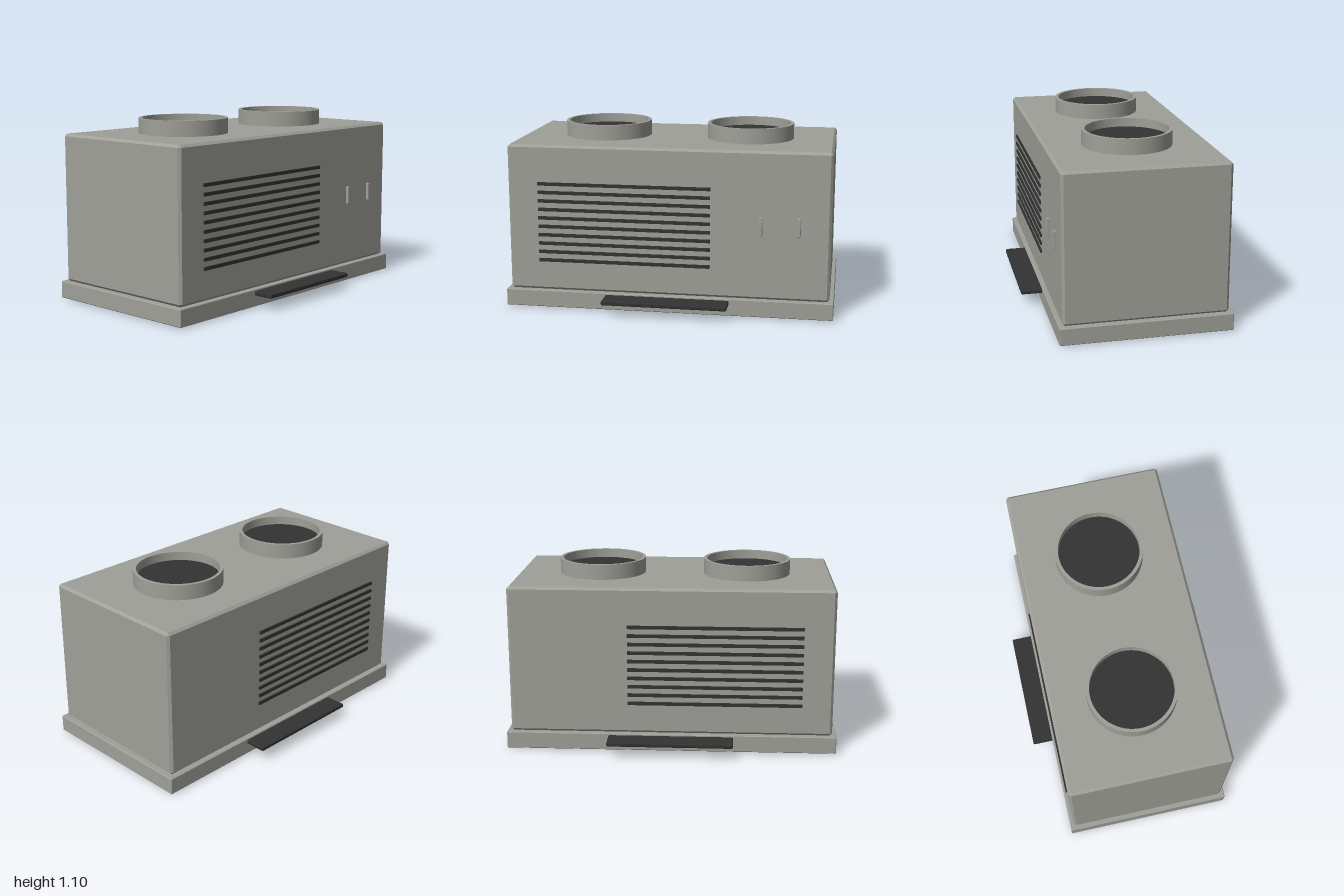
import * as THREE from 'three';
import { ConvexGeometry } from 'three/addons/geometries/ConvexGeometry.js';

const grey = new THREE.MeshStandardMaterial({ color: 0xa0a099 });
grey.name = 'casing grey';
const dark = new THREE.MeshStandardMaterial({ color: 0x333333 });
dark.name = 'vent dark grey';

// Box with every edge chamfered by c
function chamferBox(w, h, d, c) {
  const points = [];
  for (const sx of [-1, 1]) for (const sy of [-1, 1]) for (const sz of [-1, 1]) {
    const x = w / 2, y = h / 2, z = d / 2;
    points.push(
      new THREE.Vector3(sx * x, sy * (y - c), sz * (z - c)),
      new THREE.Vector3(sx * (x - c), sy * y, sz * (z - c)),
      new THREE.Vector3(sx * (x - c), sy * (y - c), sz * z));
  }
  return new ConvexGeometry(points);
}

export function createModel() {
  const group = new THREE.Group();
  function add(name, geometry, material, x, y, z) {
    const mesh = new THREE.Mesh(geometry, material);
    mesh.name = name;
    mesh.position.set(x, y, z);
    group.add(mesh);
    return mesh;
  }

  // Casing and base tray
  add('casing', chamferBox(1.95, 0.9, 0.974, 0.015), grey, 0, 0.565, 0);
  add('baseTray', chamferBox(2, 0.104, 1.02, 0.004), grey, 0, 0.063, 0);
  add('bottomPanel', new THREE.BoxGeometry(0.74, 0.02, 0.74), dark, 0, 0.014, 0);

  // Flat plate passing through the base and standing out front and back
  add('mountingPlate', chamferBox(0.755, 0.026, 1.275, 0.005), dark, 0, 0.092, 0);

  // Louvre slats on front and back
  const slat = new THREE.BoxGeometry(1.05, 0.02, 0.02);
  for (const side of [1, -1]) {
    for (let i = 0; i < 10; i++) {
      add('louvreSlat', slat, dark, -0.265, 0.305 + i * 0.0527, side * 0.486);
    }
  }

  // Two small handles on the front
  for (const x of [0.56, 0.785]) {
    add('handle', chamferBox(0.022, 0.112, 0.03, 0.003), grey, x, 0.567, 0.491);
  }

  // Round outlets on top: open collar with a dark recessed disc
  const collar = new THREE.LatheGeometry([
    [0.268, 1.01], [0.268, 1.108], [0.268, 1.108], [0.248, 1.108], [0.248, 1.108], [0.248, 1.01],
  ].map(([r, y]) => new THREE.Vector2(r, y)), 64);
  const disc = new THREE.CylinderGeometry(0.249, 0.249, 0.04, 64);
  for (const x of [-0.45, 0.45]) {
    add('outletCollar', collar, grey, x, 0, 0);
    add('outletDisc', disc, dark, x, 1.035, 0);
  }
  return group;
}
